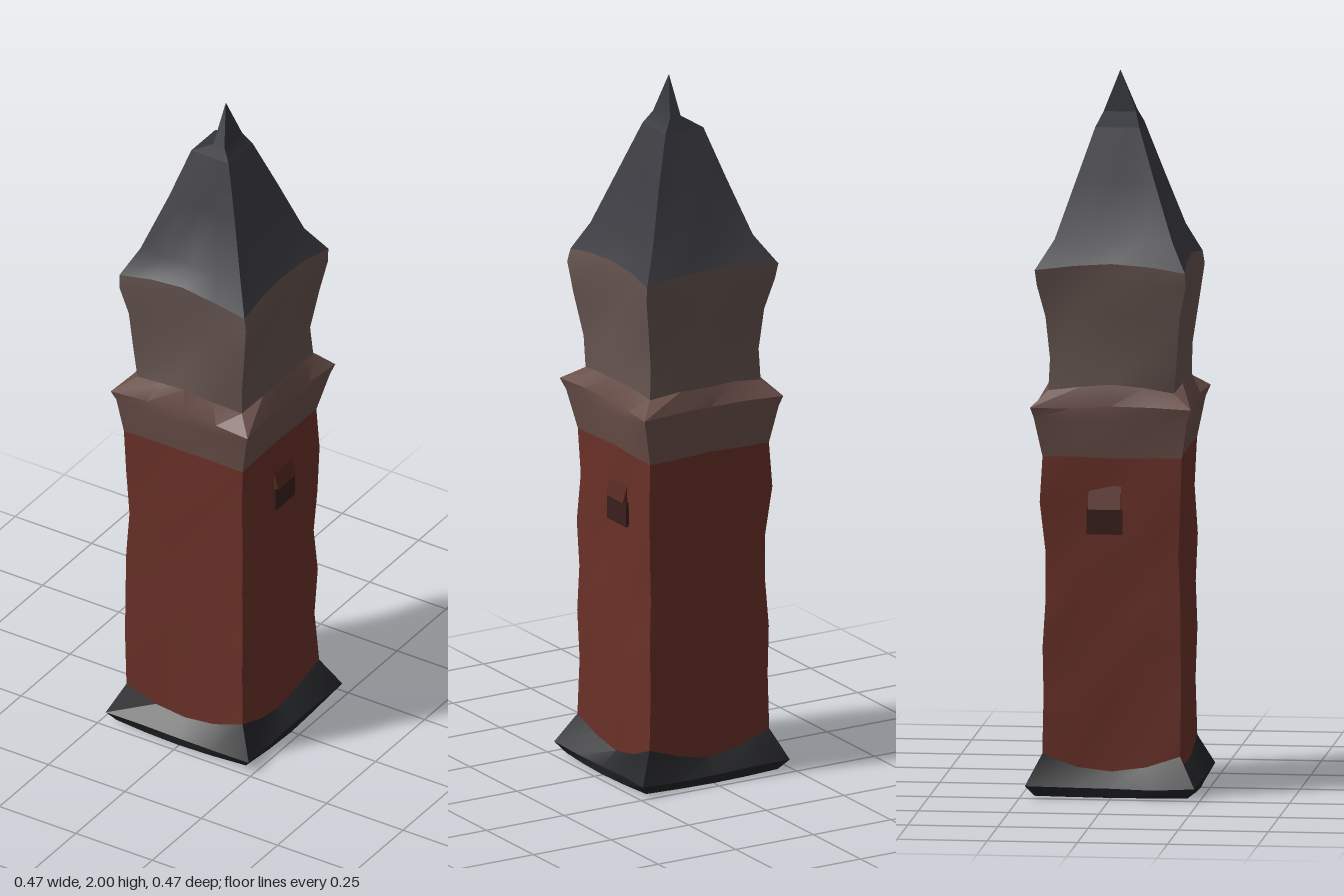
import * as THREE from 'three';
import { toCreasedNormals } from 'three/addons/utils/BufferGeometryUtils.js';

const SEG = 4; // segments per side of the square tower
const CORNERS = [[1, -1], [1, 1], [-1, 1], [-1, -1]];

// Repeatable unevenness, shared by parts that meet at the same height
const wobble = (y, j) => Math.sin(y * 37.7 + j * 12.99) * Math.cos(y * 19.1 + j * 4.7);

// One square ring: corner and mid-side half widths, mid-side lift, x shift and x scale
function ringPoints({ y, corner, mid = corner, lift = 0, ox = 0, sx = 1, rough = 0 }) {
  const points = [];
  for (let s = 0; s < 4; s++) {
    const [ax, az] = CORNERS[s], [bx, bz] = CORNERS[(s + 1) % 4];
    for (let k = 0; k < SEG; k++) {
      const t = k / SEG;
      const bow = Math.sin(Math.PI * t);
      const r = corner + (mid - corner) * bow + rough * wobble(y, s * SEG + k);
      const h = y + lift * bow + rough * wobble(y + 2, s * SEG + k) * (k ? 1.5 : 0.5);
      // along-side coordinate stays tied to the corners, the face coordinate bows
      const x = ax + (bx - ax) * t, z = az + (bz - az) * t;
      const px = Math.abs(x) === 1 ? x * r : x * corner;
      const pz = Math.abs(z) === 1 ? z * r : z * corner;
      points.push([px * sx + ox, h, pz]);
    }
  }
  return points;
}

// Skin a stack of square rings from bottom to top
function loft(name, color, rings, crease = 0.6) {
  const rows = rings.map(ringPoints);
  const n = SEG * 4, verts = [];
  for (let i = 0; i < rows.length - 1; i++) {
    for (let j = 0; j < n; j++) {
      const k = (j + 1) % n;
      const a = rows[i][j], b = rows[i][k], c = rows[i + 1][j], d = rows[i + 1][k];
      if (rings[i].corner > 0) verts.push(...a, ...c, ...b);
      if (rings[i + 1].corner > 0) verts.push(...b, ...c, ...d);
    }
  }
  const geometry = new THREE.BufferGeometry();
  geometry.setAttribute('position', new THREE.Float32BufferAttribute(verts, 3));
  const mesh = new THREE.Mesh(
    toCreasedNormals(geometry, crease),
    new THREE.MeshStandardMaterial({ color, side: THREE.DoubleSide })
  );
  mesh.name = name;
  return mesh;
}

// Small dark opening under a sloping brick hood, set on a side wall
function makeWindow(side) {
  const group = new THREE.Group();
  const pane = new THREE.Mesh(
    new THREE.BoxGeometry(0.01, 0.07, 0.1),
    new THREE.MeshStandardMaterial({ color: 0x3a1f1b })
  );
  pane.name = 'windowOpening';
  const wedge = new THREE.Shape([[0, 0], [0.02, 0], [0, 0.07]].map(p => new THREE.Vector2(...p)));
  const hood = new THREE.Mesh(
    new THREE.ExtrudeGeometry(wedge, { depth: 0.09, bevelEnabled: false }),
    new THREE.MeshStandardMaterial({ color: 0x57291f })
  );
  hood.name = 'windowHood';
  hood.position.set(-0.008, 0.035, -0.045);
  group.add(pane, hood);
  group.rotation.y = side > 0 ? 0 : Math.PI;
  group.position.set(side * 0.19 - 0.004, 0.77, -0.02);
  group.name = side > 0 ? 'leftWindow' : 'rightWindow';
  return group;
}

export function createModel() {
  const tower = new THREE.Group();
  tower.name = 'tower';

  // Shared rings where neighbouring parts meet
  const shaftFoot = { y: 0.12, corner: 0.192, mid: 0.186, lift: -0.05, ox: -0.004, rough: 0.004 };
  const shaftTop = { y: 0.95, corner: 0.192, mid: 0.188, ox: -0.004, rough: 0.004 };
  const waist = { y: 1.13, corner: 0.175, mid: 0.192, lift: 0.02, rough: 0.006 };
  const eaves = { y: 1.47, corner: 0.208, mid: 0.197, lift: 0.02, ox: -0.003, rough: 0.005 };

  // Flared dark foot with a closed underside
  tower.add(loft('plinth', 0x222326, [
    { y: 0.003, corner: 0 },
    { y: 0.005, corner: 0.212, mid: 0.226 },
    { y: 0.035, corner: 0.236, mid: 0.23, lift: -0.005, rough: 0.003 },
    shaftFoot,
  ], 0.4));

  // Uneven brick shaft
  tower.add(loft('shaft', 0x6a3128, [
    shaftFoot,
    ...[0.28, 0.42, 0.55, 0.68, 0.82].map((y, i) => ({
      y, corner: 0.189 + 0.003 * Math.sin(i * 2), mid: 0.186, ox: -0.004, rough: 0.007,
    })),
    shaftTop,
  ]));

  // Flaring band around the shaft top
  tower.add(loft('cornice', 0x6b504a, [
    shaftTop,
    { y: 1.06, corner: 0.213, mid: 0.205, lift: -0.005, rough: 0.004 },
    { y: 1.09, corner: 0.224, mid: 0.207, rough: 0.004 },
    waist,
  ], 0.5));

  // Belfry, waisted at the corners and widening to the eaves
  tower.add(loft('belfry', 0x65544f, [
    waist,
    { y: 1.22, corner: 0.176, mid: 0.188, rough: 0.008 },
    { y: 1.34, corner: 0.191, mid: 0.187, rough: 0.008 },
    { y: 1.43, corner: 0.208, mid: 0.196, rough: 0.005 },
    eaves,
  ]));

  // Steep slate roof
  const roofTop = { y: 1.85, corner: 0.061, ox: -0.003 };
  tower.add(loft('roof', 0x3c3b41, [
    eaves,
    { y: 1.55, corner: 0.163, mid: 0.16, rough: 0.003 },
    { y: 1.71, corner: 0.108, rough: 0.002 },
    roofTop,
  ], 0.5));

  // Narrow fin-shaped spike on the ridge
  tower.add(loft('spike', 0x33343b, [
    roofTop,
    { y: 1.885, corner: 0.045, ox: 0.016, sx: 0.4 },
    { y: 2, corner: 0, ox: 0.01 },
  ], 0.4));

  for (const side of [-1, 1]) tower.add(makeWindow(side));
  return tower;
}
